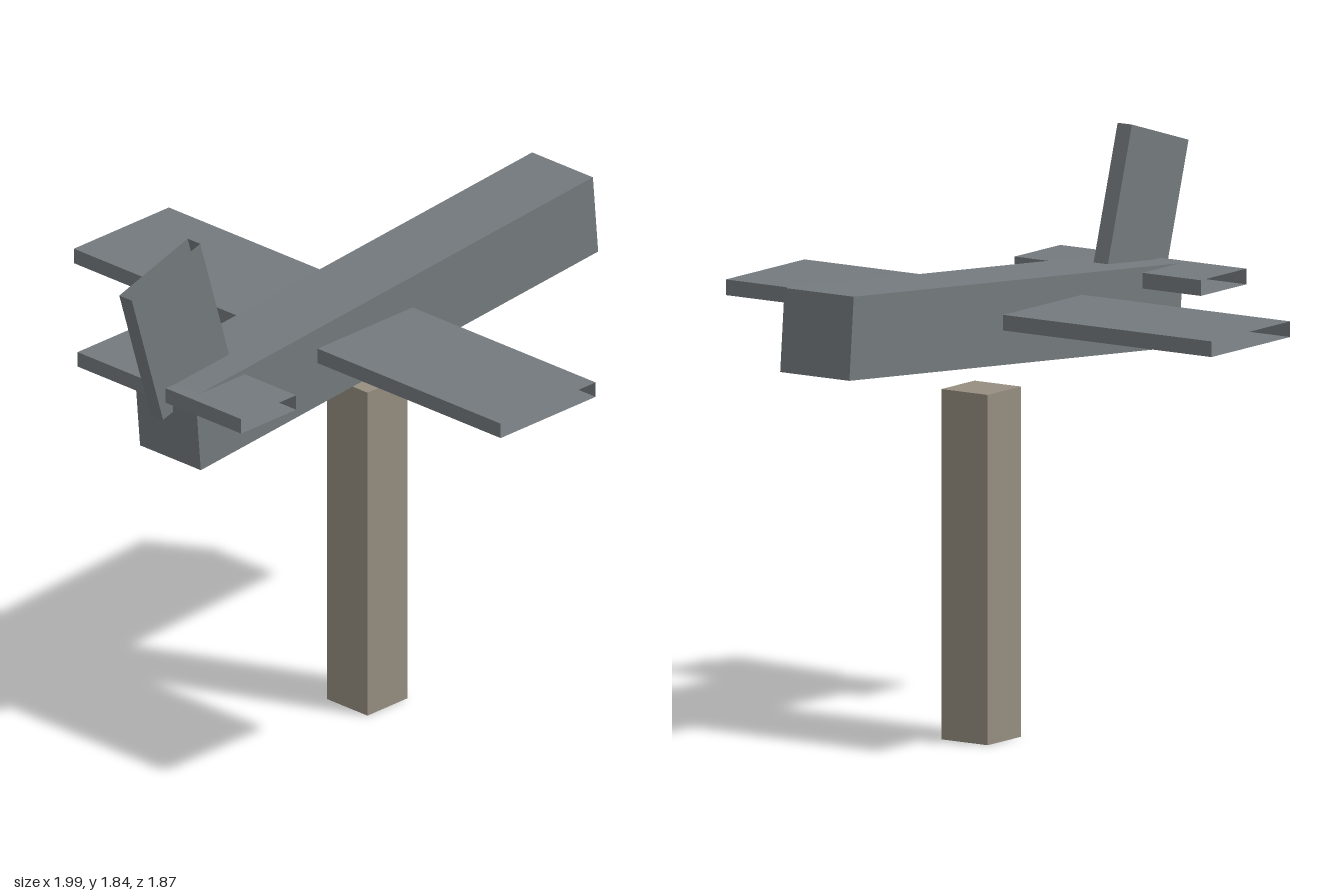
import * as THREE from 'three';

// Box with its two end caps removed along the given axis
function sleeve(w, h, d, axis) {
  const geo = new THREE.BoxGeometry(w, h, d);
  const start = { x: 0, y: 12, z: 24 }[axis];
  const index = Array.from(geo.index.array);
  index.splice(start, 12);
  geo.setIndex(index);
  geo.clearGroups();
  return geo;
}

export function createModel() {
  const model = new THREE.Group();
  model.name = 'planeOnPost';

  const grey = new THREE.MeshStandardMaterial({ color: 0x747a7e, side: THREE.DoubleSide });
  grey.name = 'slateGrey';
  const wood = new THREE.MeshStandardMaterial({ color: 0x968e80 });
  wood.name = 'weatheredWood';

  const add = (name, geo, mat, x, y, tilt = 0) => {
    const mesh = new THREE.Mesh(geo, mat);
    mesh.name = name;
    mesh.position.set(x, y, 0);
    mesh.rotation.z = tilt;
    model.add(mesh);
  };

  // Square post standing on the ground
  add('post', new THREE.BoxGeometry(0.18, 1.118, 0.178), wood, 0.09, 0.559);

  // Fuselage, nose pitched up toward +x
  add('fuselage', new THREE.BoxGeometry(1.797, 0.266, 0.266), grey, 0.087, 1.342, 0.089);

  // Level wing and tailplane, hollow with open tips
  add('wing', sleeve(0.428, 0.05, 1.868, 'z'), grey, -0.056, 1.35);
  add('tailplane', sleeve(0.248, 0.05, 0.716, 'z'), grey, -0.722, 1.371);

  // Swept-back tail fin, hollow with open top and bottom
  add('tailFin', sleeve(0.322, 0.481, 0.055, 'y'), grey, -0.774, 1.567, 0.297);

  return model;
}
